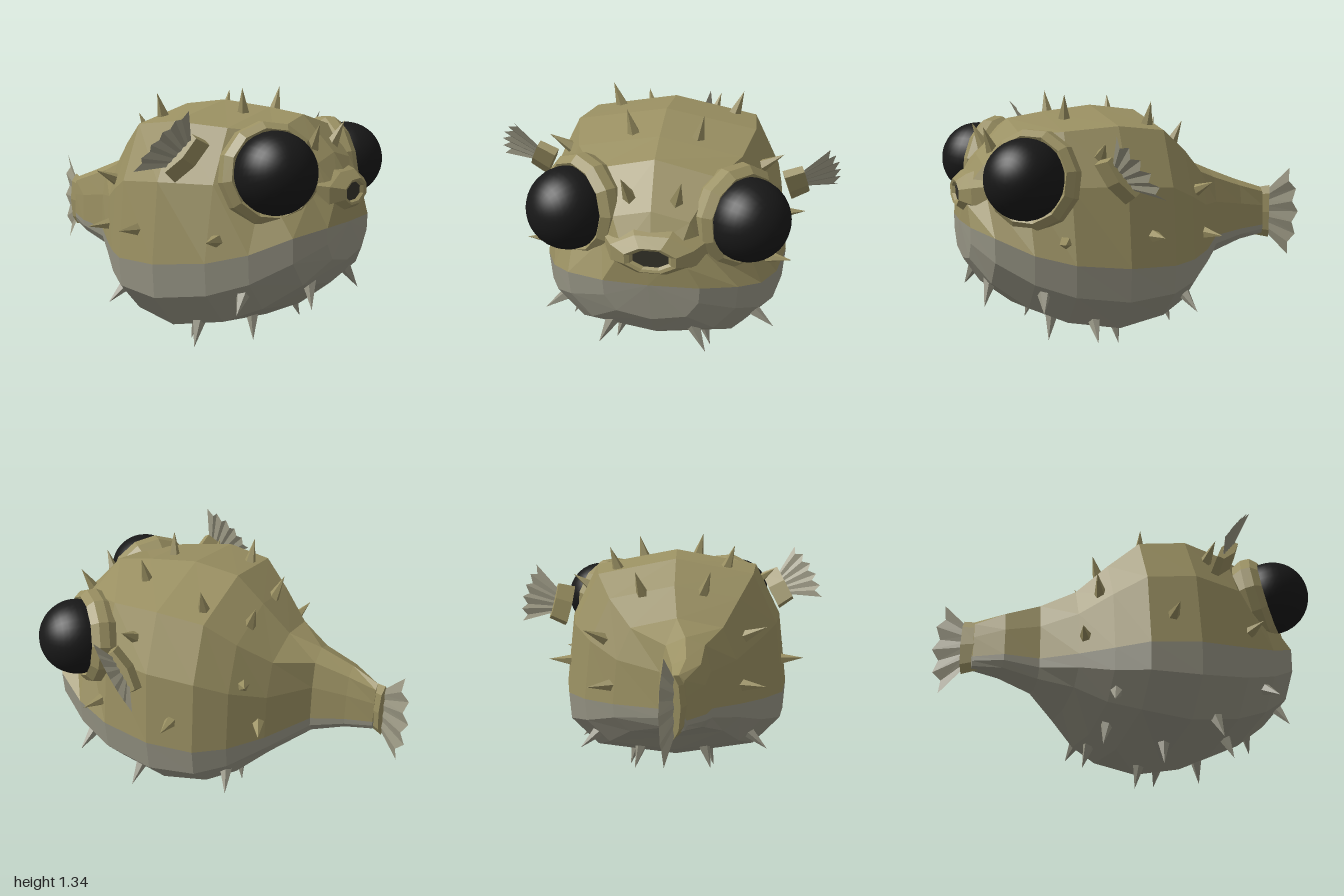
import * as THREE from 'three';

const mat = (color, flatShading = true, side = THREE.FrontSide) =>
  new THREE.MeshStandardMaterial({ color, flatShading, side });
const olive = mat(0x9a9062);
const oliveOpen = mat(0x9a9062, true, THREE.DoubleSide);
const grey = mat(0x969484);
const finMat = mat(0xa09d88, true, THREE.DoubleSide);
const dark = mat(0x35332a);
const eyeMat = mat(0x181818, false);

// Body stations: z, centre x, half width, top, colour border, bottom, crown narrowing
const stations = [
  [0.975, 0, 0, 0.69, 0.69, 0.69, 1],
  [0.965, 0.01, 0.23, 0.89, 0.69, 0.49, 0.8],
  [0.88, 0, 0.41, 1.03, 0.66, 0.36, 0.62],
  [0.71, -0.01, 0.52, 1.21, 0.58, 0.225, 0.8],
  [0.52, -0.02, 0.595, 1.24, 0.53, 0.135, 0.95],
  [0.25, -0.03, 0.64, 1.27, 0.5, 0.08, 1],
  [0.0, -0.02, 0.6, 1.24, 0.49, 0.13, 1],
  [-0.15, -0.01, 0.49, 1.11, 0.49, 0.2, 1],
  [-0.3, -0.02, 0.34, 0.96, 0.5, 0.32, 1],
  [-0.47, -0.06, 0.14, 0.89, 0.52, 0.4, 1],
  [-0.65, -0.06, 0.1, 0.82, 0.54, 0.46, 1],
  [-0.8, -0.02, 0.04, 0.77, 0.55, 0.49, 1],
  [-0.82, -0.02, 0, 0.6, 0.6, 0.6, 1],
];

// Half outlines as fractions of width and height, mirrored into a full arc
const backHalf = [[1, 0], [0.93, 0.52], [0.71, 0.89], [0, 1]];
const bellyHalf = [[-1, 0], [-0.98, -0.41], [-0.73, -0.83], [0, -1]];
const mirrorArc = (half) => [...half, ...half.slice(0, -1).reverse().map(([x, v]) => [-x, v])];

function loft(arc) {
  const pos = [], idx = [], n = arc.length;
  stations.forEach(([z, cx, w, top, border, bottom, crown], i) => {
    arc.forEach(([x, v], j) => {
      pos.push(cx + x * w * (v > 0 ? crown : 1), border + v * (v > 0 ? top - border : border - bottom), z);
      if (i < stations.length - 1 && j < n - 1) {
        const a = i * n + j, b = a + n;
        idx.push(a, b, a + 1, a + 1, b, b + 1);
      }
    });
  });
  const g = new THREE.BufferGeometry();
  g.setAttribute('position', new THREE.Float32BufferAttribute(pos, 3));
  g.setIndex(idx);
  g.computeVertexNormals();
  return g;
}

// Pleated fan: +x points outward, y runs along the base, z carries the pleats
function fanGeometry(length, base, spread, notches) {
  const pos = [], idx = [], n = notches * 2;
  for (let k = 0; k <= n; k++) {
    const t = (k / n) * 2 - 1, a = t * spread;
    const r = length * (k % 2 ? 0.82 : 1);
    const pleat = (k % 2 ? 1 : -1) * 0.007;
    pos.push(0, t * base, pleat * 0.4, Math.cos(a) * r, t * base + Math.sin(a) * r, pleat);
    if (k < n) idx.push(2 * k, 2 * k + 1, 2 * k + 2, 2 * k + 2, 2 * k + 1, 2 * k + 3);
  }
  const g = new THREE.BufferGeometry();
  g.setAttribute('position', new THREE.Float32BufferAttribute(pos, 3));
  g.setIndex(idx);
  g.computeVertexNormals();
  return g;
}

export function createModel() {
  const model = new THREE.Group();
  const add = (parent, name, geometry, material, p = [0, 0, 0]) => {
    const m = new THREE.Mesh(geometry, material);
    m.name = name;
    m.position.set(...p);
    parent.add(m);
    return m;
  };
  const addGroup = (name, p) => {
    const g = new THREE.Group();
    g.name = name;
    g.position.set(...p);
    model.add(g);
    return g;
  };

  const skin = [
    add(model, 'back', loft(mirrorArc(backHalf)), olive),
    add(model, 'belly', loft(mirrorArc(bellyHalf)), grey),
  ];

  // Bulging eyes in shallow faceted rims
  const rimProfile = [[0.22, -0.13], [0.255, -0.05], [0.25, 0.0], [0.215, 0.035], [0.18, 0.01]]
    .map(([r, y]) => new THREE.Vector2(r, y));
  const eyes = [
    ['rightEye', [-0.385, 0.955, 0.745], [-0.6, 0.16, 0.78]],
    ['leftEye', [0.4, 0.935, 0.7], [0.73, 0.16, 0.66]],
  ];
  for (const [name, p, dir] of eyes) {
    const g = addGroup(name, p);
    g.quaternion.setFromUnitVectors(new THREE.Vector3(0, 1, 0), new THREE.Vector3(...dir).normalize());
    add(g, 'eyeRim', new THREE.LatheGeometry(rimProfile, 12), oliveOpen);
    add(g, 'eyeball', new THREE.SphereGeometry(0.2, 32, 20), eyeMat, [0, 0.05, 0]);
  }

  // Snout with a small open mouth
  const mouth = addGroup('mouth', [0.015, 0.84, 0]);
  const lips = [[0.27, 0.87], [0.21, 0.95], [0.13, 1.0], [0.105, 0.995], [0.085, 0.975]]
    .map(([r, y]) => new THREE.Vector2(r, y));
  const lipGeometry = new THREE.LatheGeometry(lips, 8, Math.PI / 8).rotateX(Math.PI / 2).scale(1, 0.52, 1);
  add(mouth, 'lips', lipGeometry, oliveOpen);
  add(mouth, 'mouthHollow', new THREE.CircleGeometry(0.1, 8).scale(1, 0.55, 1), dark, [0, 0, 0.98]);

  // Fins: outward direction and base direction set the plane of each fan
  const addFin = (name, p, out, along, fan, root) => {
    const g = addGroup(name, p);
    const x = new THREE.Vector3(...out).normalize();
    const z = x.clone().cross(new THREE.Vector3(...along)).normalize();
    g.quaternion.setFromRotationMatrix(new THREE.Matrix4().makeBasis(x, z.clone().cross(x), z));
    add(g, 'finWeb', fan, finMat);
    add(g, 'finRoot', root, olive, [-0.035, 0, 0]);
  };
  const sideFan = fanGeometry(0.2, 0.075, 0.6, 5);
  const sideRoot = new THREE.CylinderGeometry(0.125, 0.14, 0.1, 6).rotateZ(-Math.PI / 2).scale(1, 1, 0.3);
  addFin('rightFin', [-0.665, 1.05, 0.415], [-0.87, 0.46, -0.04], [0.3, 0.75, 0.55], sideFan, sideRoot);
  addFin('leftFin', [0.675, 0.96, 0.325], [0.92, 0.34, -0.22], [-0.1, 0.78, 0.56], sideFan, sideRoot);
  const tailRoot = new THREE.CylinderGeometry(0.155, 0.14, 0.09, 8).rotateZ(-Math.PI / 2).scale(1, 1, 0.24);
  addFin('tailFin', [0, 0.625, -0.84], [0.46, 0, -0.89], [0, 1, 0],
    fanGeometry(0.18, 0.13, 0.8, 4), tailRoot);

  // Spines in mirrored pairs: z and angle from straight up, seated on the skin
  const spines = [
    [0.45, 15], [0.05, 28], [-0.15, 20], [0.36, 48], [-0.2, 60], [0.12, 87], [0.56, 88],
    [-0.27, 94], [0.82, 14], [0.66, 117], [0.87, 138], [0.55, 154],
    [0.39, 133], [0.2, 157], [-0.12, 128], [-0.1, 157],
  ];
  const spineGeometry = new THREE.ConeGeometry(0.038, 0.15, 5).translate(0, 0.05, 0);
  const ray = new THREE.Raycaster();
  for (const [z, degrees] of spines) {
    for (const s of [-1, 1]) {
      const a = THREE.MathUtils.degToRad(degrees);
      const dir = new THREE.Vector3(s * Math.sin(a), Math.cos(a), 0);
      ray.set(new THREE.Vector3(0, 0.62, z).addScaledVector(dir, 2), dir.clone().negate());
      const hit = ray.intersectObjects(skin)[0];
      const spine = add(model, 'spine', spineGeometry, degrees > 100 ? grey : olive, hit.point.toArray());
      const lean = hit.face.normal.clone().add(dir).normalize();
      spine.quaternion.setFromUnitVectors(new THREE.Vector3(0, 1, 0), lean);
    }
  }
  return model;
}
